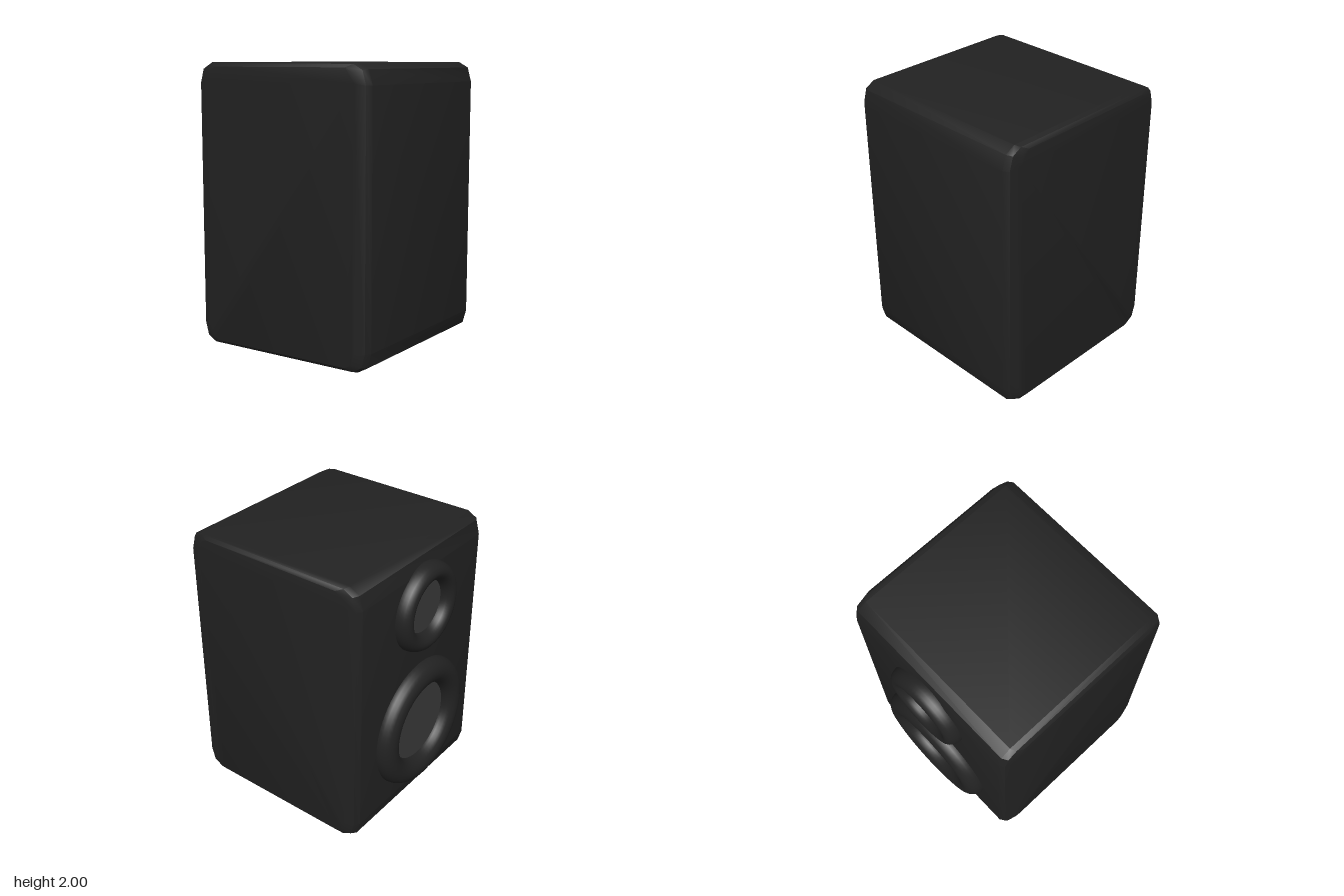
import * as THREE from 'three';
import { toCreasedNormals } from 'three/addons/utils/BufferGeometryUtils.js';

const HALF_U = 0.712, HALF_V = 0.72;

// Rounded rectangle: inset from the full outline, k scales the corner cuts
function section(insetU, insetY, k) {
  const hu = HALF_U - insetU, hy = 1 - insetY;
  const cuts = [[0, 0.14], [0.028, 0.04], [0.1, 0]];
  const pts = [];
  for (const [sx, sy] of [[1, 1], [-1, 1], [-1, -1], [1, -1]]) {
    const corner = cuts.map(([a, b]) => [sx * (hu - a * k), sy * (hy - b * k)]);
    if (sx * sy < 0) corner.reverse();
    pts.push(...corner);
  }
  return pts;
}

// Cabinet lofted from cross-sections along its width
function cabinetGeometry() {
  const half = [[0, 0.1, 0.03, 0.7], [0.02, 0.025, 0.008, 0.95], [0.057, 0, 0, 1]]; // depth, insets, corner
  const rings = [
    ...half.map(([d, ...s]) => [-HALF_V + d, section(...s)]),
    ...half.map(([d, ...s]) => [HALF_V - d, section(...s)]).reverse(),
  ];
  const n = rings[0][1].length, pos = [], idx = [];
  for (const [z, pts] of rings) for (const [x, y] of pts) pos.push(x, y, z);
  for (let r = 0; r < rings.length - 1; r++) {
    for (let i = 0; i < n; i++) {
      const a = r * n + i, b = r * n + (i + 1) % n;
      idx.push(a, b, b + n, a, b + n, a + n);
    }
  }
  // End caps
  const last = (rings.length - 1) * n;
  for (let i = 1; i < n - 1; i++) {
    idx.push(0, i + 1, i, last, last + i, last + i + 1);
  }
  const geo = new THREE.BufferGeometry();
  geo.setAttribute('position', new THREE.Float32BufferAttribute(pos, 3));
  geo.setIndex(idx);
  return toCreasedNormals(geo, 0.6);
}

export function createModel() {
  const model = new THREE.Group();
  model.name = 'loudspeaker';
  const black = new THREE.MeshStandardMaterial({ color: 0x222222 });
  const grey = new THREE.MeshStandardMaterial({ color: 0x3a3a3a });

  const body = new THREE.Group();
  body.name = 'speakerBody';
  body.position.set(0.013, 1, 0);
  body.rotation.y = -0.199;
  model.add(body);

  const cabinet = new THREE.Mesh(cabinetGeometry(), black);
  cabinet.name = 'cabinet';
  body.add(cabinet);

  // Driver: rounded surround ring with a flat cone, on the -x face
  function addDriver(name, y, major, tube, bulge) {
    const driver = new THREE.Group();
    driver.name = name;
    driver.position.set(-HALF_U, y - 1, 0);
    driver.rotation.y = -Math.PI / 2;
    const ring = new THREE.Mesh(new THREE.TorusGeometry(major, tube, 20, 64), black);
    ring.name = name + 'Surround';
    ring.scale.z = bulge / tube;
    const cone = new THREE.Mesh(new THREE.CircleGeometry(major, 48), grey);
    cone.name = name + 'Cone';
    cone.position.z = 0.012;
    driver.add(ring, cone);
    body.add(driver);
  }
  addDriver('woofer', 0.655, 0.39, 0.097, 0.097);
  addDriver('tweeter', 1.595, 0.253, 0.066, 0.09);

  return model;
}
